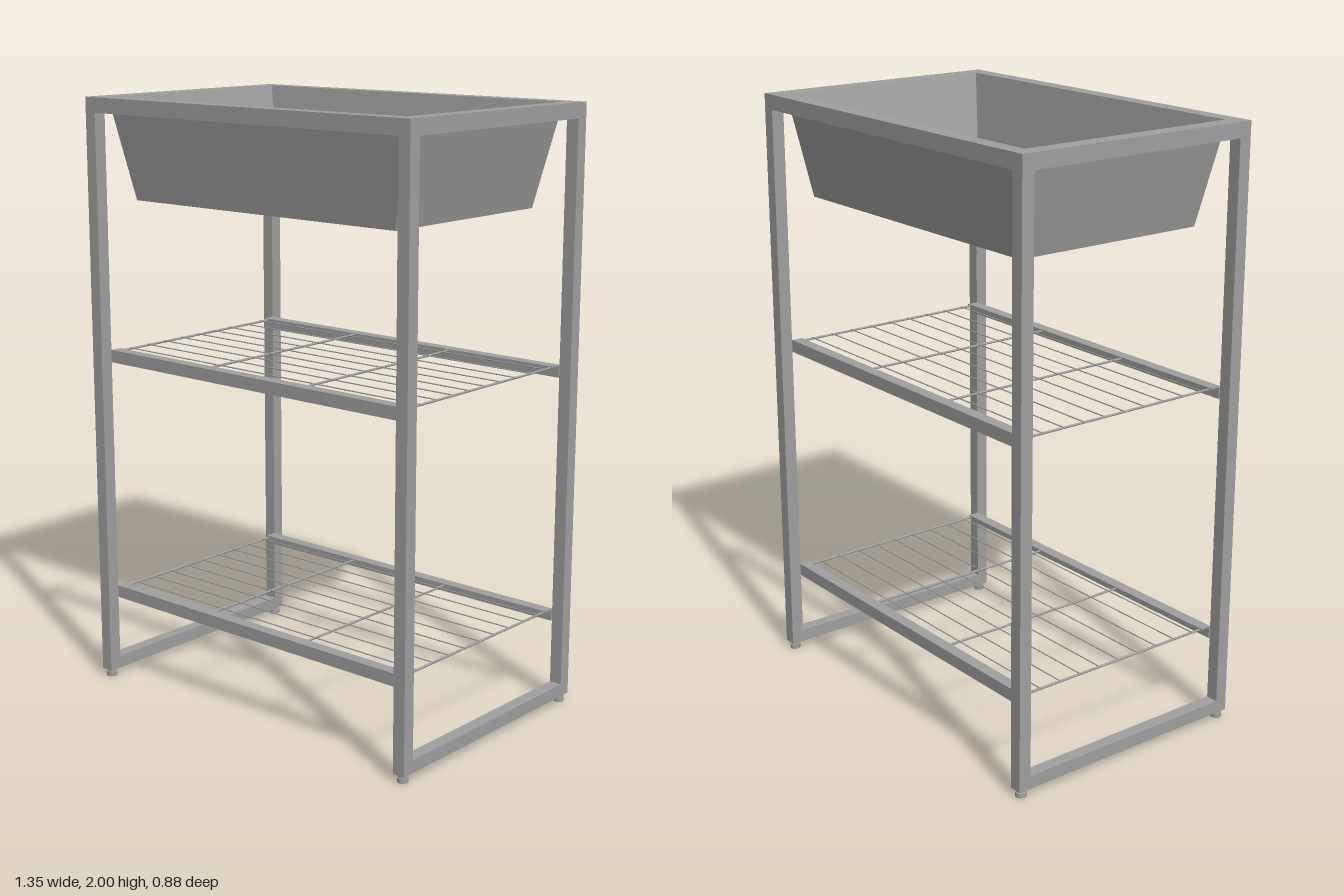
import * as THREE from 'three';

export function createModel() {
  const group = new THREE.Group();
  const steel = new THREE.MeshStandardMaterial({ color: 0xa0a0a0 });
  steel.name = 'grey steel';

  const W = 0.675, D = 0.44, T = 0.043; // half width, half depth, tube size
  const FOOT = 0.026, LEG_TOP = 1.95;
  const add = (name, geo, x = 0, y = 0, z = 0, parent = group) => {
    const mesh = new THREE.Mesh(geo, steel);
    mesh.name = name;
    mesh.position.set(x, y, z);
    parent.add(mesh);
    return mesh;
  };
  const box = (name, w, h, d, x, y, z, parent) =>
    add(name, new THREE.BoxGeometry(w, h, d), x, y, z, parent);

  // Rectangular path used for the rim outline and its opening
  const rect = (path, a, b) => {
    path.moveTo(-a, -b);
    path.lineTo(a, -b);
    path.lineTo(a, b);
    path.lineTo(-a, b);
    path.closePath();
    return path;
  };

  // Top frame
  const rim = rect(new THREE.Shape(), W, D);
  rim.holes.push(rect(new THREE.Path(), 0.622, 0.39));
  const rimGeo = new THREE.ExtrudeGeometry(rim, { depth: 0.05, bevelEnabled: false });
  rimGeo.rotateX(-Math.PI / 2);
  add('topFrame', rimGeo, 0, LEG_TOP, 0);

  // Tapered basin: thin shell from nested rectangles, outside then inside
  const rings = [
    [0, 1.665, 0], // centre of the underside
    [0.546, 1.665, 0.343],
    [0.622, 2, 0.39],
    [0.618, 2, 0.386],
    [0.54, 1.671, 0.337],
    [0, 1.671, 0], // centre of the floor
  ];
  const corners = [[1, 1], [1, -1], [-1, -1], [-1, 1]];
  const pos = [];
  for (let i = 0; i < rings.length - 1; i++) {
    for (let k = 0; k < 4; k++) {
      const p = ([a, y, b], [sx, sz]) => [a * sx, y, b * sz];
      const c0 = corners[k], c1 = corners[(k + 1) % 4];
      const a = p(rings[i], c0), b = p(rings[i], c1);
      const c = p(rings[i + 1], c1), d = p(rings[i + 1], c0);
      if (i > 0) pos.push(...a, ...b, ...c);
      if (i === 0) pos.push(...a, ...c, ...d);
      else if (i < rings.length - 2) pos.push(...a, ...c, ...d);
    }
  }
  const basinGeo = new THREE.BufferGeometry();
  basinGeo.setAttribute('position', new THREE.Float32BufferAttribute(pos, 3));
  basinGeo.computeVertexNormals();
  add('basin', basinGeo);

  // Legs, feet and bottom side rails
  for (const sx of [-1, 1]) {
    const x = sx * (W - T / 2);
    for (const sz of [-1, 1]) {
      const z = sz * (D - T / 2);
      box('leg', T, LEG_TOP - FOOT, T, x, (LEG_TOP + FOOT) / 2, z);
      add('footStem', new THREE.CylinderGeometry(0.013, 0.013, 0.012, 16), x, 0.02, z);
      add('footPad', new THREE.CylinderGeometry(0.018, 0.018, 0.016, 16), x, 0.008, z);
    }
    box('bottomRail', T, T, 2 * (D - T), x, FOOT + T / 2, 0);
  }

  // Wire shelves resting between angle rails
  const inX = W - T, inZ = D - T;
  const makeShelf = (name, top) => {
    const shelf = new THREE.Group();
    shelf.name = name;
    shelf.position.y = top;
    group.add(shelf);
    for (const s of [-1, 1]) {
      box('railFace', 2 * inX, 0.042, 0.005, 0, -0.021, s * (inZ - 0.0025), shelf);
      box('railFlange', 2 * inX, 0.005, 0.035, 0, -0.0025, s * (inZ - 0.0225), shelf);
    }
    // Cross bars
    for (let i = 0; i < 4; i++) {
      const bar = new THREE.CylinderGeometry(0.004, 0.004, 2 * inZ - 0.01, 8);
      bar.rotateX(Math.PI / 2);
      add('crossBar', bar, -0.622 + i * 0.4147, -0.006, 0, shelf);
    }
    // Long thin wires
    for (let i = 0; i < 9; i++) {
      const wire = new THREE.CylinderGeometry(0.002, 0.002, 2 * inX - 0.012, 6);
      wire.rotateZ(Math.PI / 2);
      add('wire', wire, 0, -0.003, -0.32 + i * 0.08, shelf);
    }
  };
  makeShelf('upperShelf', 1.16);
  makeShelf('lowerShelf', 0.328);

  return group;
}
